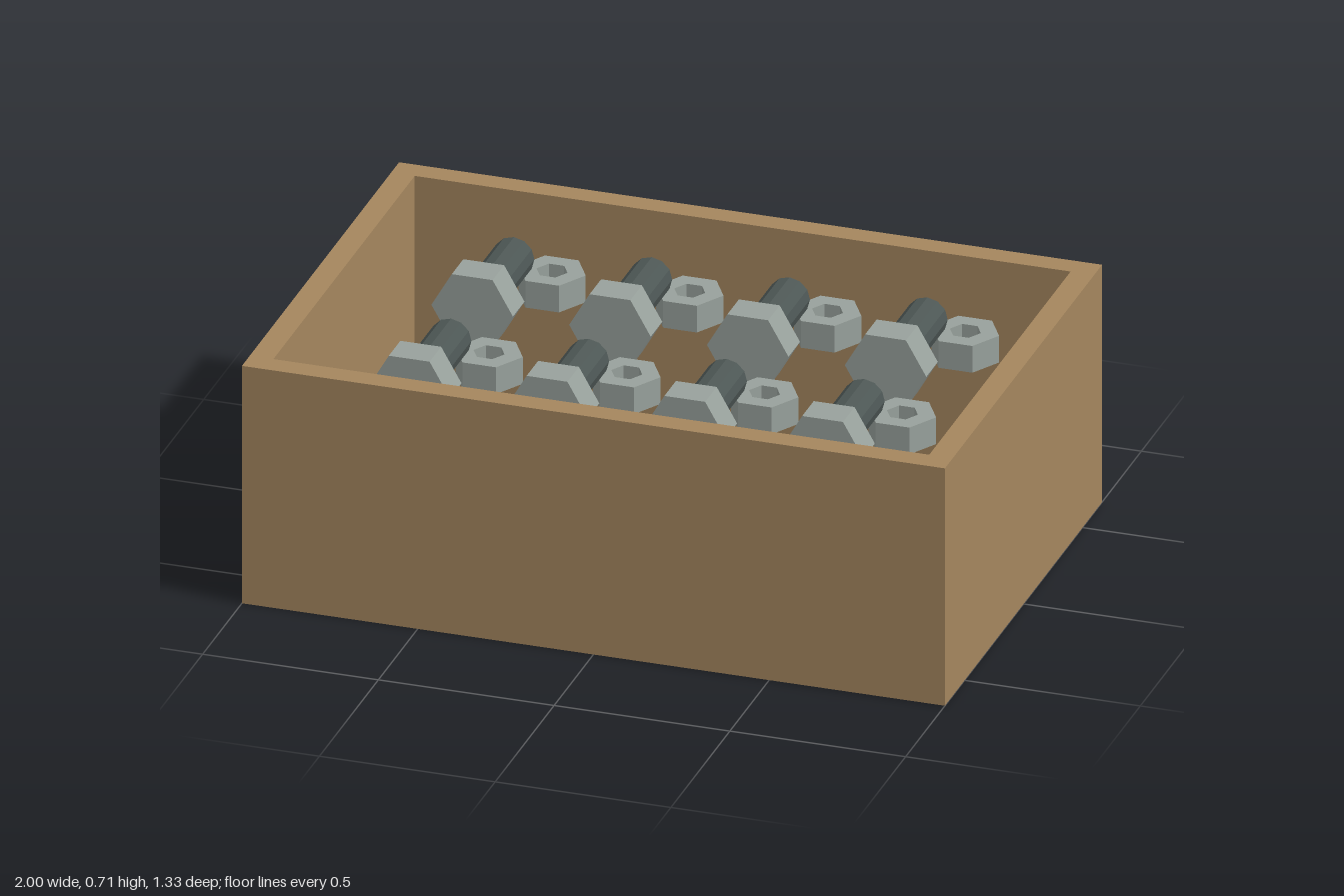
import * as THREE from 'three';

const material = (name, color) => {
  const m = new THREE.MeshStandardMaterial({ color, flatShading: true });
  m.name = name;
  return m;
};

// Regular hexagon with corners on the x axis
function hexagon(radius, PathType) {
  const path = new PathType();
  for (let i = 0; i < 6; i++) {
    const a = (i * Math.PI) / 3;
    path[i ? 'lineTo' : 'moveTo'](radius * Math.cos(a), radius * Math.sin(a));
  }
  path.closePath();
  return path;
}

function rectangle(w, d, PathType) {
  const path = new PathType();
  path.moveTo(-w / 2, -d / 2);
  path.lineTo(w / 2, -d / 2);
  path.lineTo(w / 2, d / 2);
  path.lineTo(-w / 2, d / 2);
  path.closePath();
  return path;
}

// Extrude a holed outline straight up from y = 0
function extrudeUp(shape, height) {
  const g = new THREE.ExtrudeGeometry(shape, { depth: height, bevelEnabled: false });
  return g.rotateX(-Math.PI / 2);
}

export function createModel() {
  const model = new THREE.Group();
  model.name = 'boxOfFasteners';
  const cardboard = material('cardboard brown', 0xa5865e);
  const steel = material('light steel', 0x98a19c);
  const darkSteel = material('dark steel', 0x4d5755);

  const add = (parent, name, geometry, mat, x = 0, y = 0, z = 0) => {
    const mesh = new THREE.Mesh(geometry, mat);
    mesh.name = name;
    mesh.position.set(x, y, z);
    parent.add(mesh);
    return mesh;
  };

  // Open box: wall ring and floor inside it
  const height = 0.711, wall = 0.067, width = 2, depth = 1.333;
  const ring = rectangle(width, depth, THREE.Shape);
  ring.holes.push(rectangle(width - 2 * wall, depth - 2 * wall, THREE.Path));
  add(model, 'boxWalls', extrudeUp(ring, height), cardboard);
  add(model, 'boxFloor', new THREE.BoxGeometry(width - 2 * wall, wall, depth - 2 * wall),
    cardboard, 0, wall / 2, 0);

  // Shared fastener geometry
  const headLength = 0.098, shaftLength = 0.257;
  const headGeometry = new THREE.ExtrudeGeometry(hexagon(0.116, THREE.Shape),
    { depth: headLength, bevelEnabled: false });
  const shaftGeometry = new THREE.CylinderGeometry(0.058, 0.058, shaftLength, 12)
    .rotateX(Math.PI / 2);
  const nutShape = hexagon(0.096, THREE.Shape);
  nutShape.holes.push(hexagon(0.044, THREE.Path));
  const nutGeometry = extrudeUp(nutShape, 0.08);

  // Two rows of four bolts, each with a nut beside its tip
  for (let row = 0; row < 2; row++) {
    for (let column = 0; column < 4; column++) {
      const pair = new THREE.Group();
      pair.name = 'boltAndNut';
      pair.position.set(-0.59 + column * 0.392, 0.487, -0.162 + row * 0.534);
      add(pair, 'boltHead', headGeometry, steel, 0, 0.118, 0);
      add(pair, 'boltShaft', shaftGeometry, darkSteel, 0, 0.118, -shaftLength / 2);
      add(pair, 'nut', nutGeometry, steel, 0.1, 0, -0.281);
      model.add(pair);
    }
  }
  return model;
}
